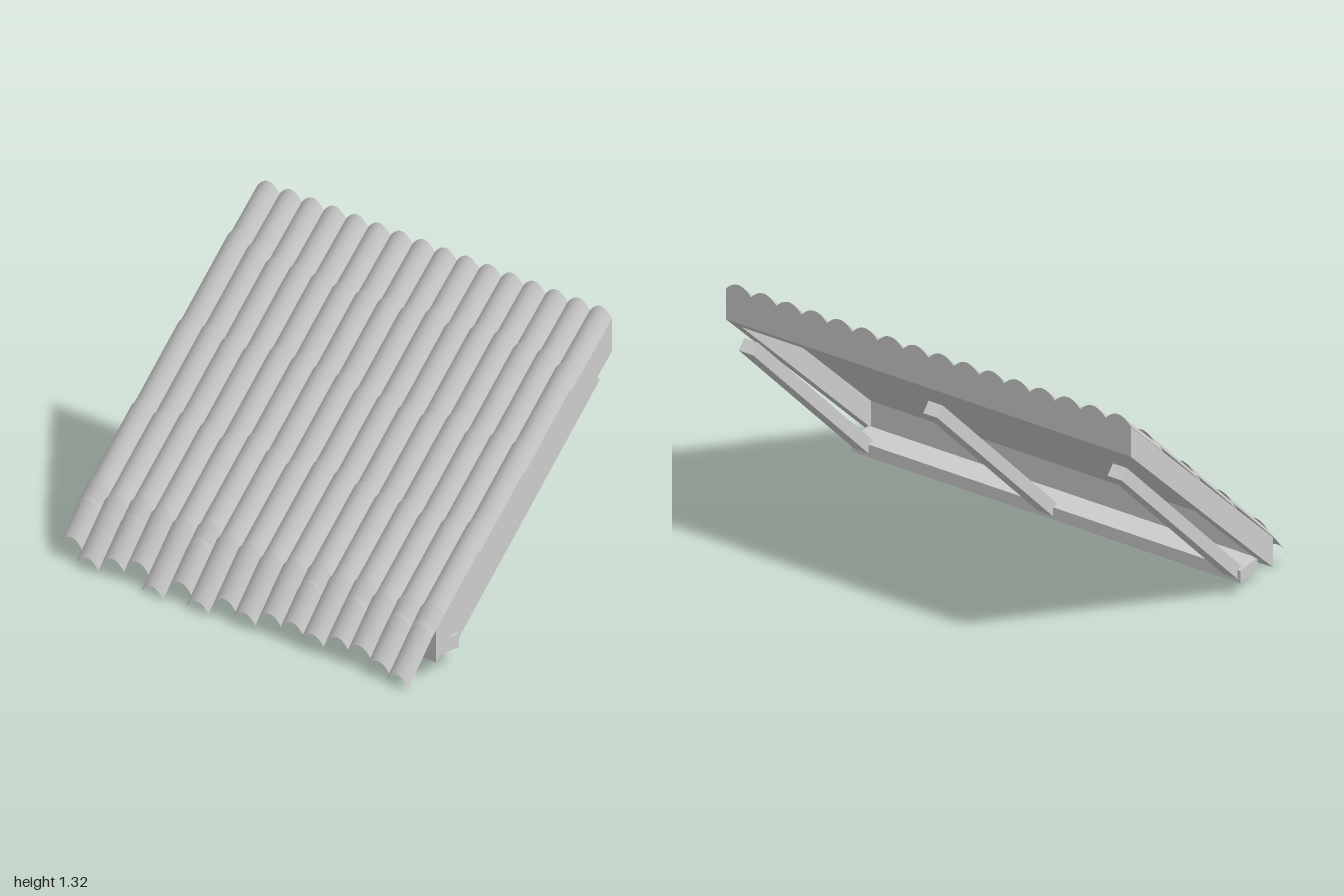
import * as THREE from 'three';
import { mergeGeometries } from 'three/addons/utils/BufferGeometryUtils.js';

const COLUMNS = 16, PITCH = 2 / COLUMNS;
const CREST = 0.697, ARCH = 0.038; // roof line y = CREST - z, and the height of a tile's arch

// Small repeatable jitter in -1..1
function seeded(seed) {
  return () => {
    seed = (seed * 16807) % 2147483647;
    return (seed / 2147483647) * 2 - 1;
  };
}

// Solid of a side section given as [z, y] points, running along x
function prism(points, width, x) {
  const shape = new THREE.Shape(points.map(([z, y]) => new THREE.Vector2(-z, y)));
  const geo = new THREE.ExtrudeGeometry(shape, { depth: width, bevelEnabled: false });
  return geo.rotateY(Math.PI / 2).translate(x - width / 2, 0, 0);
}

// One arched tile; the lifts raise its upper and lower ends off the roof line
function tileGeometry(x, z0, z1, lift0, lift1) {
  const geo = new THREE.PlaneGeometry(1, 1, 10, 4);
  const pos = geo.attributes.position;
  for (let i = 0; i < pos.count; i++) {
    const u = pos.getX(i) * 2, t = 0.5 - pos.getY(i);
    const z = z0 + (z1 - z0) * t;
    const crest = CREST - z + lift0 + (lift1 - lift0) * t;
    pos.setXYZ(i, x + (u * PITCH) / 2, crest - ARCH * u * u, z);
  }
  geo.computeVertexNormals();
  return geo;
}

export function createModel() {
  const model = new THREE.Group();
  model.name = 'tiledRoof';
  const grey = new THREE.MeshStandardMaterial({ color: 0xcccccc, side: THREE.DoubleSide });
  grey.name = 'plain grey';

  const add = (geo, name) => {
    const mesh = new THREE.Mesh(geo, grey);
    mesh.name = name;
    model.add(mesh);
  };

  // Thin roof deck hung between the deep walls of a frame
  add(prism([
    [0.44, 0.073], [0.44, 0.217], [-0.62, 1.277], [-0.62, 1.133],
    [-0.575, 1.088], [-0.575, 1.217], [0.39, 0.252], [0.39, 0.123],
  ], 1.9, 0), 'deck');
  for (const side of [-1, 1]) {
    add(prism([[0.44, 0.073], [0.44, 0.217], [-0.62, 1.277], [-0.62, 1.133]], 0.05, side * 0.975),
      side < 0 ? 'rightDeckRim' : 'leftDeckRim');
  }

  // Scalloped plate closing the tiles along the ridge
  const ridge = new THREE.Shape();
  const valley = CREST + 0.62 - ARCH;
  ridge.moveTo(-1, valley - 0.01);
  ridge.lineTo(-1, valley);
  for (let c = 0; c < COLUMNS; c++) {
    const x = -1 + c * PITCH;
    ridge.quadraticCurveTo(x + PITCH / 2, valley + 2 * ARCH, x + PITCH, valley);
  }
  ridge.lineTo(1, valley - 0.01);
  add(new THREE.ShapeGeometry(ridge, 10).rotateY(Math.PI).translate(0, 0, -0.62), 'ridgeClosure');

  // Rafters and the beam they rest on
  const rafter = [[0.293, 0.133], [-0.565, 1.033], [-0.605, 0.993], [0.258, 0.09]];
  for (const x of [-0.91, 0, 0.91]) add(prism(rafter, 0.07, x), 'rafter');
  add(prism([[0.385, 0.073], [0.385, 0.133], [0.258, 0.133], [0.258, 0.073]], 1.92, 0), 'eaveBeam');

  // Rows of arched tiles meeting in uneven laps, down to a ragged eave
  const rowStarts = [-0.62, -0.425, -0.145, 0.125, 0.415];
  const eaveEnds = [0.57, 0.605, 0.585, 0.57, 0.615, 0.58, 0.61, 0.58,
    0.595, 0.575, 0.575, 0.585, 0.57, 0.57, 0.59, 0.605];
  const jitter = seeded(41);
  for (let row = 0; row < 5; row++) {
    const tiles = [];
    for (let c = 0; c < COLUMNS; c++) {
      const x = -1 + (c + 0.5) * PITCH;
      const last = row === 4;
      const z0 = rowStarts[row] + (row ? jitter() * 0.02 : 0);
      const z1 = last ? eaveEnds[c] : rowStarts[row + 1] + 0.05;
      const lift0 = row ? 0.014 : 0;
      const lift1 = last ? -0.03 - (z1 - 0.57) * 0.3 : 0;
      tiles.push(tileGeometry(x, z0, z1, lift0, lift1));
    }
    add(mergeGeometries(tiles), 'tileRow' + (row + 1));
  }
  return model;
}
